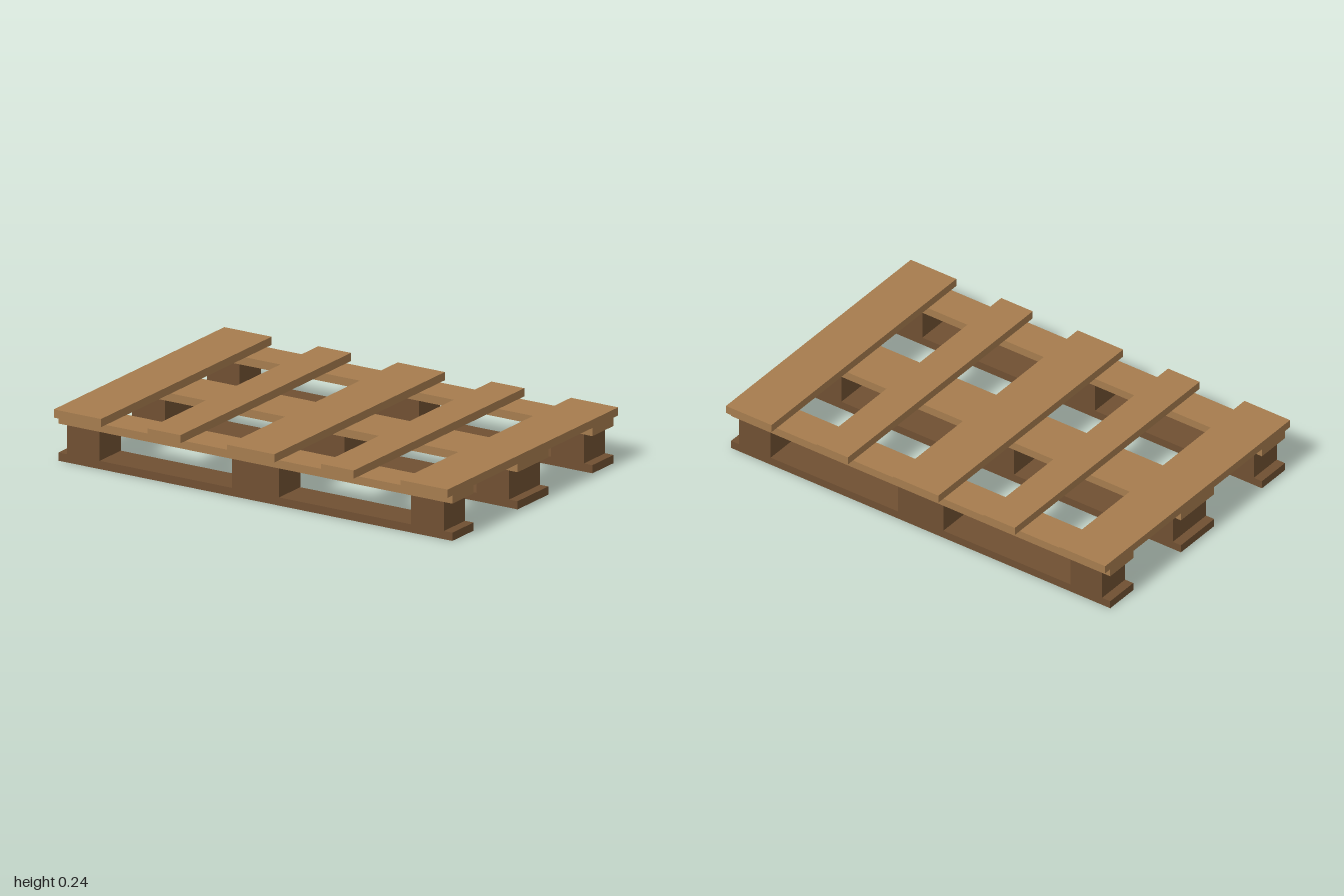
import * as THREE from 'three';

const LIGHT = new THREE.MeshStandardMaterial({ color: 0xa67c4e });
const DARK = new THREE.MeshStandardMaterial({ color: 0x705032 });

const WIDE = 0.24, NARROW = 0.166;   // plank widths
const T = 0.0367;                    // plank thickness
const BLOCK_H = 0.13;
const LENGTH = 2, DEPTH = 1.333;

export function createModel() {
  const pallet = new THREE.Group();
  pallet.name = 'pallet';

  // Adds a box whose underside sits at height y
  const addBox = (name, material, w, h, d, x, y, z) => {
    const mesh = new THREE.Mesh(new THREE.BoxGeometry(w, h, d), material);
    mesh.name = name;
    mesh.position.set(x, y + h / 2, z);
    pallet.add(mesh);
  };

  // Three runners: bottom board, three blocks and a stringer board each
  for (const row of [-1, 0, 1]) {
    const z = row * 0.547;
    const d = row === 0 ? WIDE : NARROW;
    addBox('bottomBoard', DARK, LENGTH, T, d, 0, 0, z);
    for (const column of [-1, 0, 1]) {
      const w = column === 0 ? WIDE : NARROW;
      addBox('block', DARK, w, BLOCK_H, d, column * 0.874, T, z);
    }
    addBox('stringerBoard', LIGHT, LENGTH, T, d, 0, T + BLOCK_H, z);
  }

  // Five deck boards running front to back, alternating wide and narrow
  [-0.88, -0.44, 0, 0.44, 0.88].forEach((x, i) => {
    addBox('deckBoard', LIGHT, i % 2 ? NARROW : WIDE, T, DEPTH, x, 2 * T + BLOCK_H, 0);
  });

  return pallet;
}
